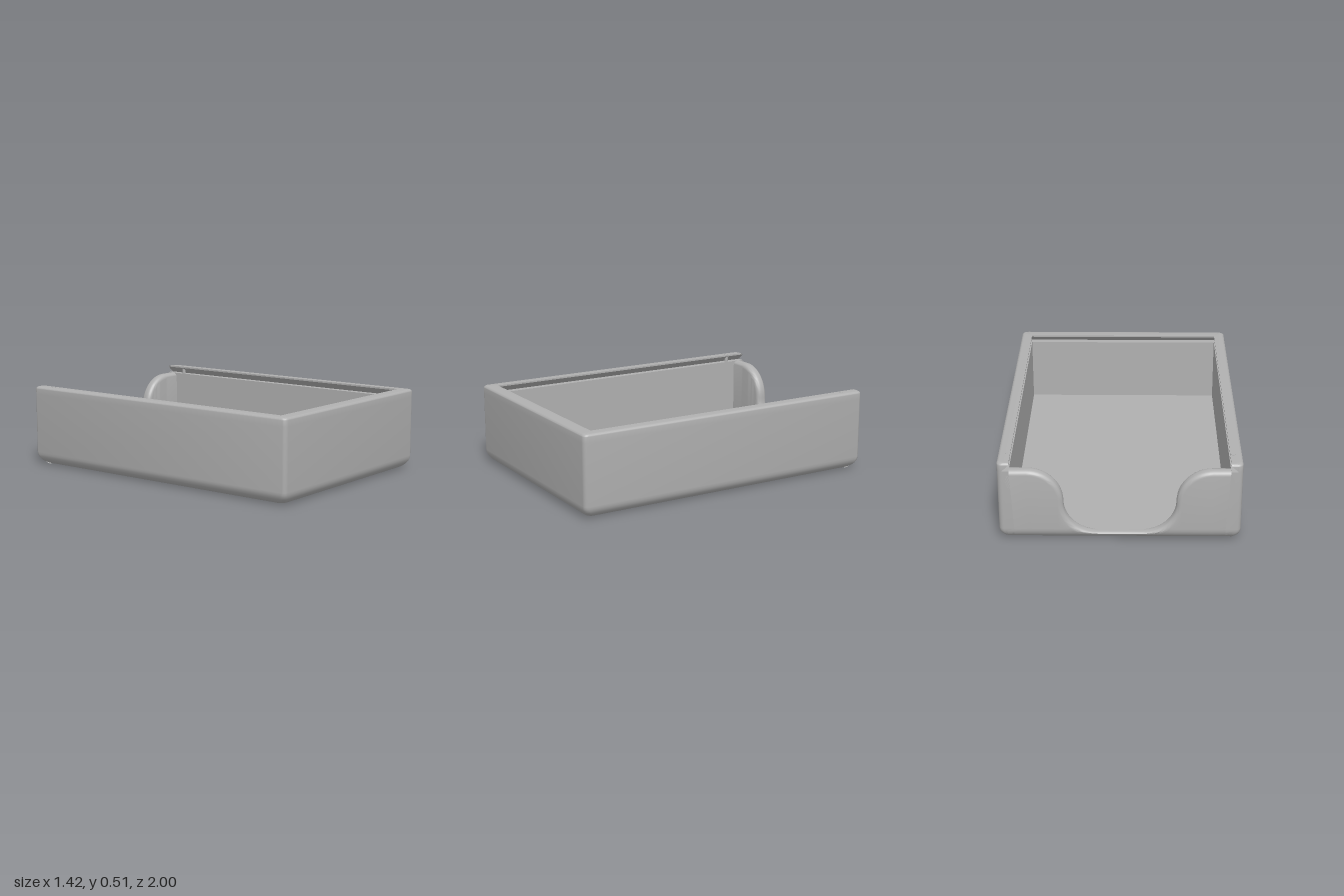
import * as THREE from 'three';
import { toCreasedNormals } from 'three/addons/utils/BufferGeometryUtils.js';

const FILLET = 0.08;   // bottom edge rounding
const FLOOR = 0.05;    // top of the floor
const LEDGE = 0.46;    // where the sliding lid rests
const TOP = 0.51;

// Skin a grid of points given as equally long rows
function skin(rows) {
  const n = rows[0].length, index = [];
  for (let i = 0; i < rows.length - 1; i++) {
    for (let j = 0; j < n - 1; j++) {
      const a = i * n + j, b = a + 1, c = a + n, d = c + 1;
      index.push(a, c, b, b, c, d);
    }
  }
  const geo = new THREE.BufferGeometry();
  geo.setAttribute('position', new THREE.Float32BufferAttribute(rows.flat(2), 3));
  geo.setIndex(index);
  return toCreasedNormals(geo, 0.6);
}

// How far the outside is drawn in at height y
const inset = (y) => y >= FILLET ? 0 : FILLET - Math.sqrt(FILLET ** 2 - (FILLET - y) ** 2);
const filletHeights = Array.from({ length: 9 }, (_, i) => FILLET * (1 - Math.cos(i * Math.PI / 16)));

// Horizontal loop round the tray, open in the middle of the back
function wallLoop(y, hx, front, back, r, startX) {
  const row = [[startX, y, back]];
  for (let corner = 0; corner < 4; corner++) {
    const sx = corner < 2 ? 1 : -1, atFront = corner === 1 || corner === 2;
    for (let k = 0; k <= 6; k++) {
      const a = (corner - 1 + k / 6) * Math.PI / 2;
      row.push([
        sx * (hx - r) + r * Math.cos(a), y,
        (atFront ? front - r : back + r) + r * Math.sin(a)]);
    }
  }
  row.push([-startX, y, back]);
  return row;
}

// Front and side walls with the undercut lid groove
function wallsGeometry() {
  const rows = [];
  const outer = (y, i, startX) => rows.push(wallLoop(y, 0.71 - i, 1 - i, -1 + i, 0.03, startX));
  const inner = (y, hx, back = -1) => rows.push(wallLoop(y, hx, hx + 0.28, back, 0, hx));
  const lipX = (y) => THREE.MathUtils.lerp(0.685, 0.64, Math.min(1, (y - LEDGE) / 0.04));
  for (const y of filletHeights) outer(y, inset(y), 0.62);
  outer(LEDGE, 0, 0.64);
  outer(LEDGE, 0, 0.685);
  for (let k = 0; k <= 4; k++) {
    const a = k * Math.PI / 8, y = TOP - 0.015 + 0.015 * Math.sin(a);
    outer(y, 0.015 * (1 - Math.cos(a)), lipX(y));
  }
  inner(TOP, 0.64, -0.985);
  inner(TOP - 0.01, 0.64);
  inner(LEDGE, 0.685);
  inner(LEDGE, 0.64);
  inner(FLOOR - 0.01, 0.64);
  return skin(rows);
}

// Right half of the S-shaped cutout: [x, y, normal x, normal y], normal into the wall
function cutoutHalf() {
  const pts = [[0, FLOOR, 0, -1]];
  for (let k = 0; k <= 14; k++) {
    const a = (k / 14 - 1) * Math.PI / 2, c = Math.cos(a), s = Math.sin(a);
    pts.push([0.13 + 0.2 * c, 0.25 + 0.2 * s, c, s]);
  }
  for (let k = 1; k <= 14; k++) {
    const a = (1 - k / 28) * Math.PI, c = Math.cos(a), s = Math.sin(a);
    pts.push([0.54 + 0.21 * c, 0.25 + 0.21 * s, -c, -s]);
  }
  pts.push([0.66, LEDGE, 0, -1]);
  return pts;
}

// Back wall with the cutout and its rounded rim
function backWallGeometry() {
  const half = cutoutHalf(), r = 0.03, inside = -0.925;
  const path = [...half.slice(1).reverse().map(([x, y, nx, ny]) => [-x, y, -nx, ny]), ...half];
  return skin(path.map(([x, y, nx, ny]) => {
    const cx = x + nx * r, cy = y + ny * r, row = [];
    for (const h of filletHeights) {
      const yy = Math.min(h, cy);
      row.push([cx, yy, -1 + inset(yy)]);
    }
    const rim = (a, z) => {
      const px = cx - nx * r * Math.sin(a), py = cy - ny * r * Math.sin(a);
      row.push([px, py, Math.max(z, -1 + inset(py))]);
    };
    for (let k = 0; k <= 6; k++) {
      const a = k * Math.PI / 12;
      rim(a, -1 + r * (1 - Math.cos(a)));
    }
    for (let k = 6; k >= 0; k--) {
      const a = k * Math.PI / 12;
      rim(a, inside - r * (1 - Math.cos(a)));
    }
    row.push([cx, Math.min(cy, FLOOR - 0.01), inside]);
    return row;
  }));
}

export function createModel() {
  const group = new THREE.Group();
  group.name = 'slidingLidTray';
  const grey = new THREE.MeshStandardMaterial({ color: 0xb0b0b0, side: THREE.DoubleSide });
  grey.name = 'grey';
  const add = (name, geo, x = 0, y = 0, z = 0) => {
    const mesh = new THREE.Mesh(geo, grey);
    mesh.name = name;
    mesh.position.set(x, y, z);
    group.add(mesh);
  };

  add('walls', wallsGeometry());
  add('backWall', backWallGeometry());

  // Flat underside and the floor inside
  add('underside', new THREE.BoxGeometry(1.26, 0.04, 1.84), 0, 0.02, 0);
  add('floor', new THREE.BoxGeometry(1.3, 0.02, 1.885), 0, FLOOR - 0.01, -0.0125);

  // Small lid catches near the back of the groove
  for (const side of [1, -1]) {
    add(side > 0 ? 'leftCatch' : 'rightCatch',
      new THREE.CylinderGeometry(0.012, 0.012, 0.051, 16), side * 0.657, 0.4855, -0.87);
  }
  return group;
}
